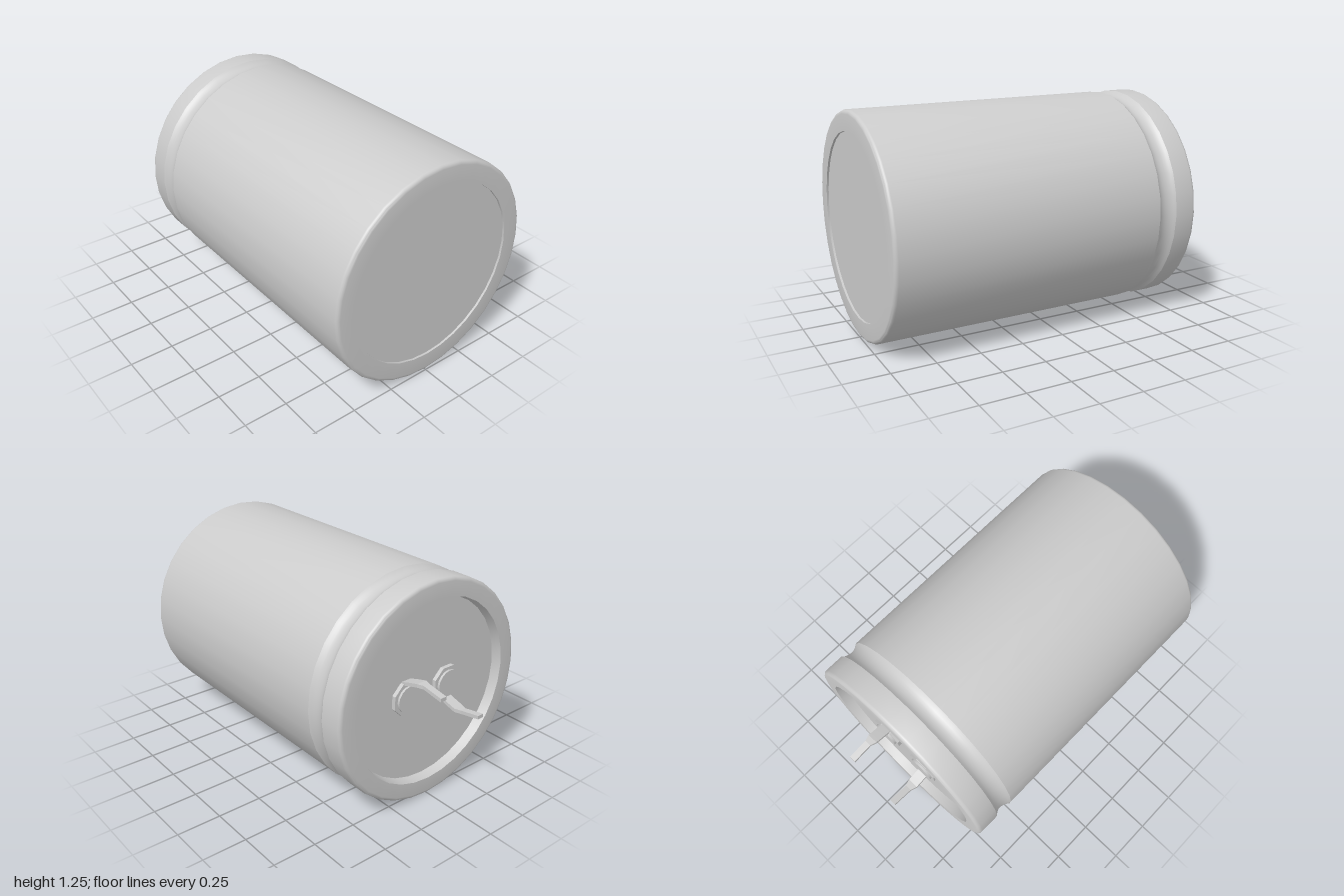
import * as THREE from 'three';
import { toCreasedNormals } from 'three/addons/utils/BufferGeometryUtils.js';

const material = new THREE.MeshStandardMaterial({ color: 0xcccccc });

function addMesh(parent, name, geometry, crease = 0.5) {
  const mesh = new THREE.Mesh(toCreasedNormals(geometry, crease), material);
  mesh.name = name;
  parent.add(mesh);
  return mesh;
}

// Quarter-round or hollow arc as profile points (radius, height)
function arc(cx, cy, r, from, to, steps) {
  return Array.from({ length: steps + 1 }, (_, i) => {
    const a = from + ((to - from) * i) / steps;
    return new THREE.Vector2(cx + r * Math.cos(a), cy + r * Math.sin(a));
  });
}

const R = 0.627, BACK = -0.79, FLOOR = -0.735, FRONT = 1;

// Can: recessed back, rolled edges, crimp groove and shallow front recess
function canGeometry() {
  const edge = 0.022, hw = 0.055, depth = 0.022, grooveZ = -0.6;
  const gr = (hw * hw + depth * depth) / (2 * depth);
  const half = Math.asin(hw / gr);
  const profile = [
    new THREE.Vector2(0, FLOOR),
    new THREE.Vector2(0.515, FLOOR),
    new THREE.Vector2(0.525, BACK),
    ...arc(R - edge, BACK + edge, edge, -Math.PI / 2, 0, 4),
    ...arc(R - depth + gr, grooveZ, gr, Math.PI + half, Math.PI - half, 8),
    ...arc(R - edge, FRONT - edge, edge, 0, Math.PI / 2, 4),
    new THREE.Vector2(0.515, FRONT),
    new THREE.Vector2(0.515, FRONT - 0.012),
    new THREE.Vector2(0, FRONT - 0.012),
  ];
  return new THREE.LatheGeometry(profile, 32).rotateX(Math.PI / 2);
}

// Bent pin: a box whose slices follow [z, y, width]
function pinGeometry() {
  const slices = [
    [FLOOR, 0.088, 0.062], [-0.79, 0.106, 0.062], [-0.845, 0.121, 0.062],
    [-0.88, 0.121, 0.038], [-1, 0.1, 0.038],
  ];
  const n = slices.length - 1;
  const geometry = new THREE.BoxGeometry(1, 0.02, 1, 1, 1, n);
  const p = geometry.attributes.position;
  for (let i = 0; i < p.count; i++) {
    const [z, y, w] = slices[Math.round((0.5 - p.getZ(i)) * n)];
    p.setXYZ(i, p.getX(i) * w, p.getY(i) + y, z);
  }
  return geometry;
}

// Terminal: octagonal washer, rivet head and pin
function createTerminal(name) {
  const terminal = new THREE.Group();
  terminal.name = name;
  const washer = new THREE.CylinderGeometry(0.1, 0.1, 0.025, 8, 1, false, Math.PI / 8);
  addMesh(terminal, 'washer', washer.rotateX(Math.PI / 2).translate(0, 0, FLOOR - 0.01));
  const rivet = new THREE.CylinderGeometry(0.076, 0.076, 0.035, 16);
  addMesh(terminal, 'rivet', rivet.rotateX(Math.PI / 2).translate(0, 0, FLOOR - 0.0175));
  addMesh(terminal, 'pin', pinGeometry(), 0.1);
  terminal.position.x = 0.143;
  return terminal;
}

export function createModel() {
  const model = new THREE.Group();
  model.name = 'capacitor';
  const body = new THREE.Group();
  body.name = 'body';
  body.position.y = R;
  model.add(body);

  addMesh(body, 'can', canGeometry());

  // Two terminals, the second turned half a revolution about the axis
  ['leftTerminal', 'rightTerminal'].forEach((name, i) => {
    const turn = new THREE.Group();
    turn.name = name + 'Mount';
    turn.rotation.z = i * Math.PI;
    turn.add(createTerminal(name));
    body.add(turn);
  });
  return model;
}
